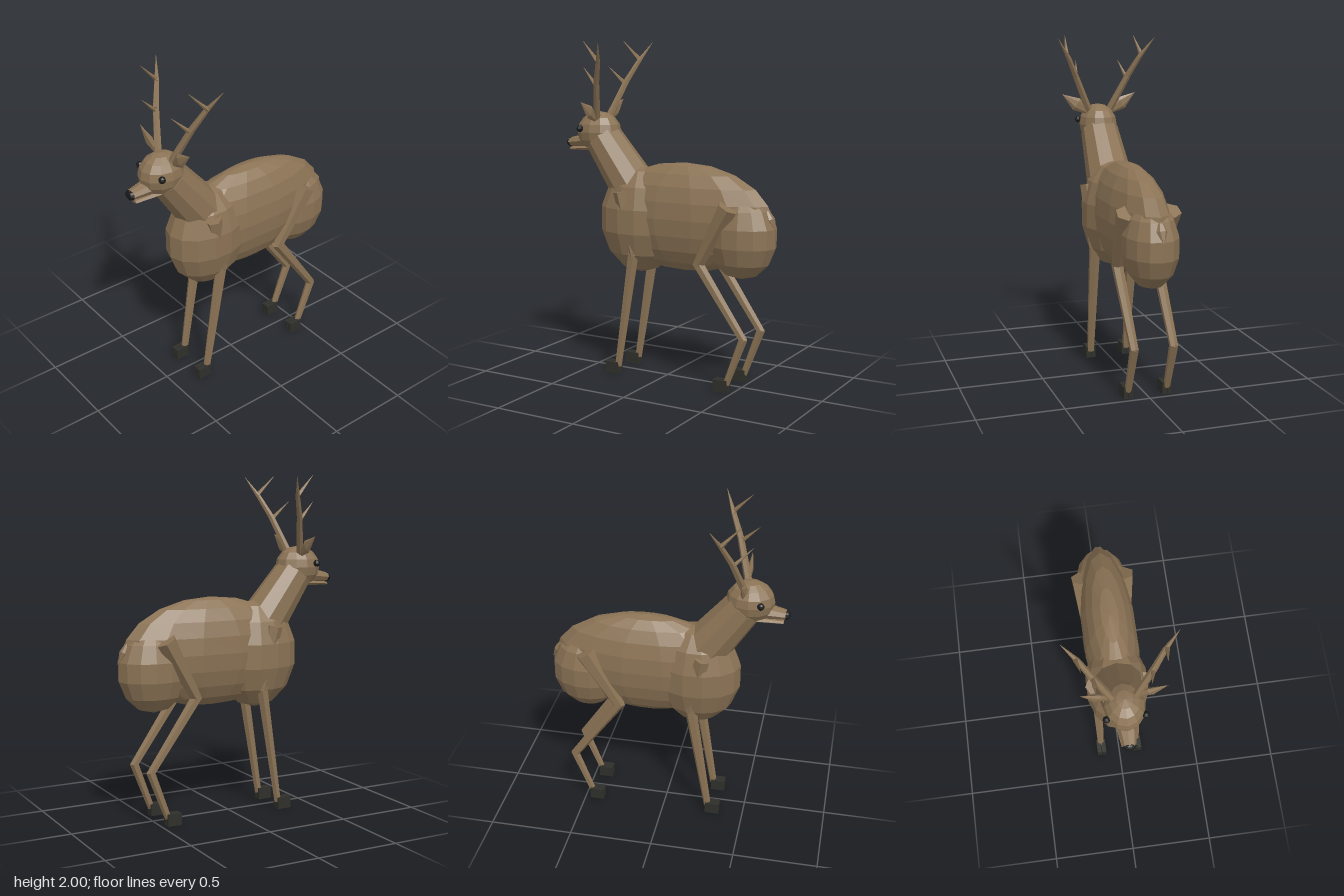
import * as THREE from 'three';

const V = (x, y, z) => new THREE.Vector3(x, y, z);
const UP = V(0, 1, 0);

export function createModel() {
  const mat = (name, color) => {
    const m = new THREE.MeshStandardMaterial({ color, flatShading: true });
    m.name = name;
    return m;
  };
  const hide = mat('brown hide', 0x8b7355);
  const hoofMat = mat('dark hoof', 0x2e2e2a);
  const black = mat('black', 0x1a1a1a);
  const model = new THREE.Group();
  model.name = 'deer';

  const add = (name, geometry, material, parent = model) => {
    const mesh = new THREE.Mesh(geometry, material);
    mesh.name = name;
    parent.add(mesh);
    return mesh;
  };

  // faceted ellipsoid with an edge along the middle of the front
  const blob = (name, pos, radii, w, h, material = hide, parent = model) => {
    const mesh = add(name, new THREE.SphereGeometry(1, w, h, Math.PI / 2), material, parent);
    mesh.position.set(...pos);
    mesh.scale.set(...radii);
    return mesh;
  };

  // tapered limb from point a to point b
  const limb = (name, a, b, ra, rb, sides = 6, parent = model, material = hide) => {
    const mesh = add(name, new THREE.CylinderGeometry(rb, ra, a.distanceTo(b), sides), material, parent);
    mesh.position.copy(a).lerp(b, 0.5);
    mesh.quaternion.setFromUnitVectors(UP, b.clone().sub(a).normalize());
    return mesh;
  };

  // flattened leaf from point a to point b
  const leaf = (name, a, b, width, flat, parent = model) => {
    const len = a.distanceTo(b);
    const profile = [[0, 0], [0.4, 0.05], [1, 0.45], [0, 1]].map(([r, t]) => new THREE.Vector2(r * width, t * len));
    const mesh = add(name, new THREE.LatheGeometry(profile, 6, Math.PI / 2), hide, parent);
    mesh.position.copy(a);
    mesh.quaternion.setFromUnitVectors(UP, b.clone().sub(a).normalize());
    mesh.scale.z = flat;
    return mesh;
  };

  // body
  blob('torso', [0, 0.98, -0.12], [0.165, 0.32, 0.56], 14, 10);
  blob('chest', [0, 0.945, 0.185], [0.188, 0.325, 0.262], 14, 7);
  blob('haunch', [0, 0.895, -0.485], [0.16, 0.25, 0.218], 14, 7);
  leaf('tail', V(0, 1.06, -0.645), V(0, 0.94, -0.705), 0.032, 0.6);

  // neck and head
  limb('neck', V(0, 1.12, 0.225), V(0, 1.42, 0.45), 0.142, 0.115, 10);
  blob('head', [0, 1.455, 0.48], [0.116, 0.125, 0.14], 12, 8);
  const muzzle = limb('muzzle', V(0, 1.405, 0.52), V(0, 1.385, 0.69), 0.065, 0.036, 8);
  muzzle.scale.z = 0.75;
  const jaw = limb('jaw', V(0, 1.36, 0.48), V(0, 1.347, 0.675), 0.07, 0.04, 8);
  jaw.scale.z = 0.28;
  blob('nose', [0, 1.385, 0.688], [0.039, 0.028, 0.022], 8, 6, black);

  // parts that come in mirrored pairs
  for (const s of [1, -1]) {
    const side = new THREE.Group();
    side.name = s > 0 ? 'leftSide' : 'rightSide';
    model.add(side);
    const P = (x, y, z) => V(s * x, y, z);

    blob('eye', [s * 0.107, 1.478, 0.55], [0.021, 0.021, 0.021], 8, 6, black, side);
    leaf('ear', P(0.07, 1.53, 0.455), P(0.235, 1.645, 0.455), 0.042, 0.4, side);

    // antler beam with two forward tines
    const beam = [P(0.065, 1.54, 0.455), P(0.165, 1.755, 0.39), P(0.225, 1.875, 0.338), P(0.302, 1.99, 0.285)];
    const radii = [0.023, 0.019, 0.015, 0.001];
    for (let i = 0; i < 3; i++) limb('antlerBeam', beam[i], beam[i + 1], radii[i], radii[i + 1], 6, side);
    limb('antlerTine', P(0.16, 1.74, 0.395), P(0.135, 1.845, 0.5), 0.014, 0.001, 5, side);
    limb('antlerTine', P(0.235, 1.885, 0.335), P(0.218, 2, 0.445), 0.014, 0.001, 5, side);

    // front leg
    limb('frontUpperLeg', P(0.14, 1.12, 0.235), P(0.12, 0.74, 0.16), 0.05, 0.036, 6, side);
    limb('frontLowerLeg', P(0.12, 0.78, 0.162), P(0.117, 0.045, 0.28), 0.036, 0.022, 6, side);

    // hind leg
    limb('thigh', P(0.13, 1.075, -0.465), P(0.12, 0.73, -0.27), 0.062, 0.034, 6, side);
    limb('hindShin', P(0.12, 0.745, -0.262), P(0.117, 0.315, -0.565), 0.034, 0.025, 6, side);
    limb('hindLowerLeg', P(0.117, 0.33, -0.563), P(0.117, 0.045, -0.455), 0.026, 0.02, 6, side);

    // cloven hooves
    for (const z of [0.312, -0.424]) {
      for (const dx of [-0.015, 0.015]) {
        const toe = add('hoof', new THREE.BoxGeometry(0.027, 0.07, 0.086), hoofMat, side);
        toe.position.set(s * 0.117 + dx, 0.036, z);
      }
    }
  }
  return model;
}
